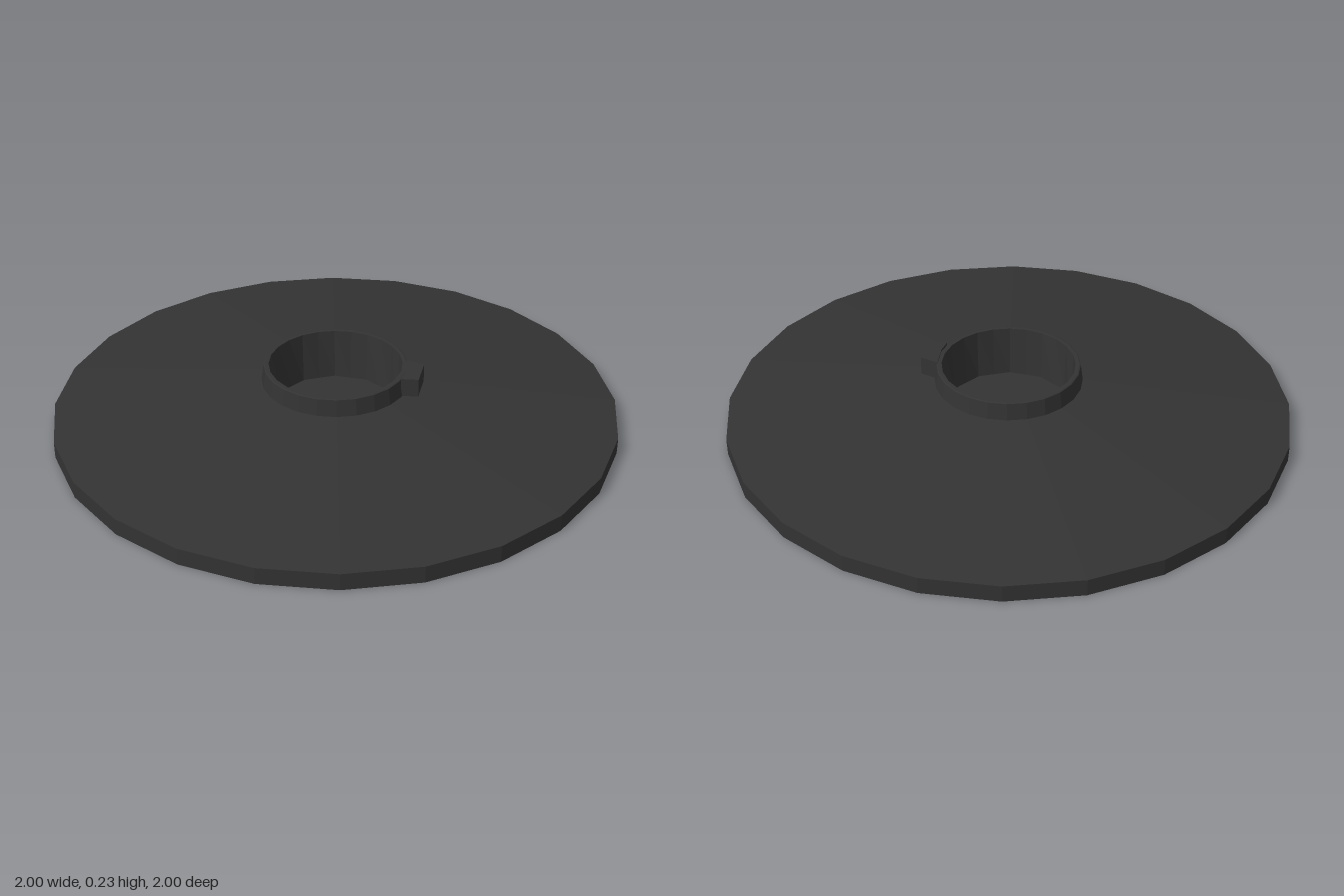
import * as THREE from 'three';

const SIDES = 24;

export function createModel() {
  const charcoal = new THREE.MeshStandardMaterial({ color: 0x333333, flatShading: true, side: THREE.DoubleSide });
  charcoal.name = 'charcoal';
  const model = new THREE.Group();
  model.name = 'flangedDisc';

  const add = (name, geometry) => {
    const mesh = new THREE.Mesh(geometry, charcoal);
    mesh.name = name;
    model.add(mesh);
    return mesh;
  };
  const lathe = (name, points) => {
    const profile = points.map(([r, y]) => new THREE.Vector2(r, y));
    const mesh = add(name, new THREE.LatheGeometry(profile, SIDES));
    mesh.rotation.y = -0.01;
    return mesh;
  };

  // Hollow disc: upright rim and shallow cone, open underneath
  lathe('disc', [[1, 0], [1, 0.06], [0.262, 0.157]]);

  // Raised collar with a narrow lip
  lathe('collar', [[0.262, 0.157], [0.254, 0.218], [0.25, 0.22], [0.236, 0.22]]);

  // Closed cup hanging inside the collar, its floor a coarser twelve-sided shape
  const cup = lathe('cup', [[0.236, 0.22], [0.23, 0.035], [0, 0.035]]).geometry;
  const pos = cup.attributes.position;
  const chord = Math.cos((2 * Math.PI) / SIDES);
  for (let i = 0; i < pos.count; i++) {
    const column = Math.floor(i / 3);
    if (i % 3 === 1 && column % 2 === 1) {
      pos.setX(i, pos.getX(i) * chord);
      pos.setZ(i, pos.getZ(i) * chord);
    }
  }
  cup.computeVertexNormals();

  // Small locating tab on the side of the collar
  const outline = [[0.25, -0.005], [0.31, 0.027], [0.283, 0.135], [0.222, 0.128], [0.24, 0.08]];
  const shape = new THREE.Shape(outline.map(([x, z]) => new THREE.Vector2(x, -z)));
  const tab = new THREE.ExtrudeGeometry(shape, { depth: 0.067, bevelEnabled: false });
  tab.rotateX(-Math.PI / 2);
  tab.translate(0, 0.158, 0);
  add('tab', tab);

  return model;
}
